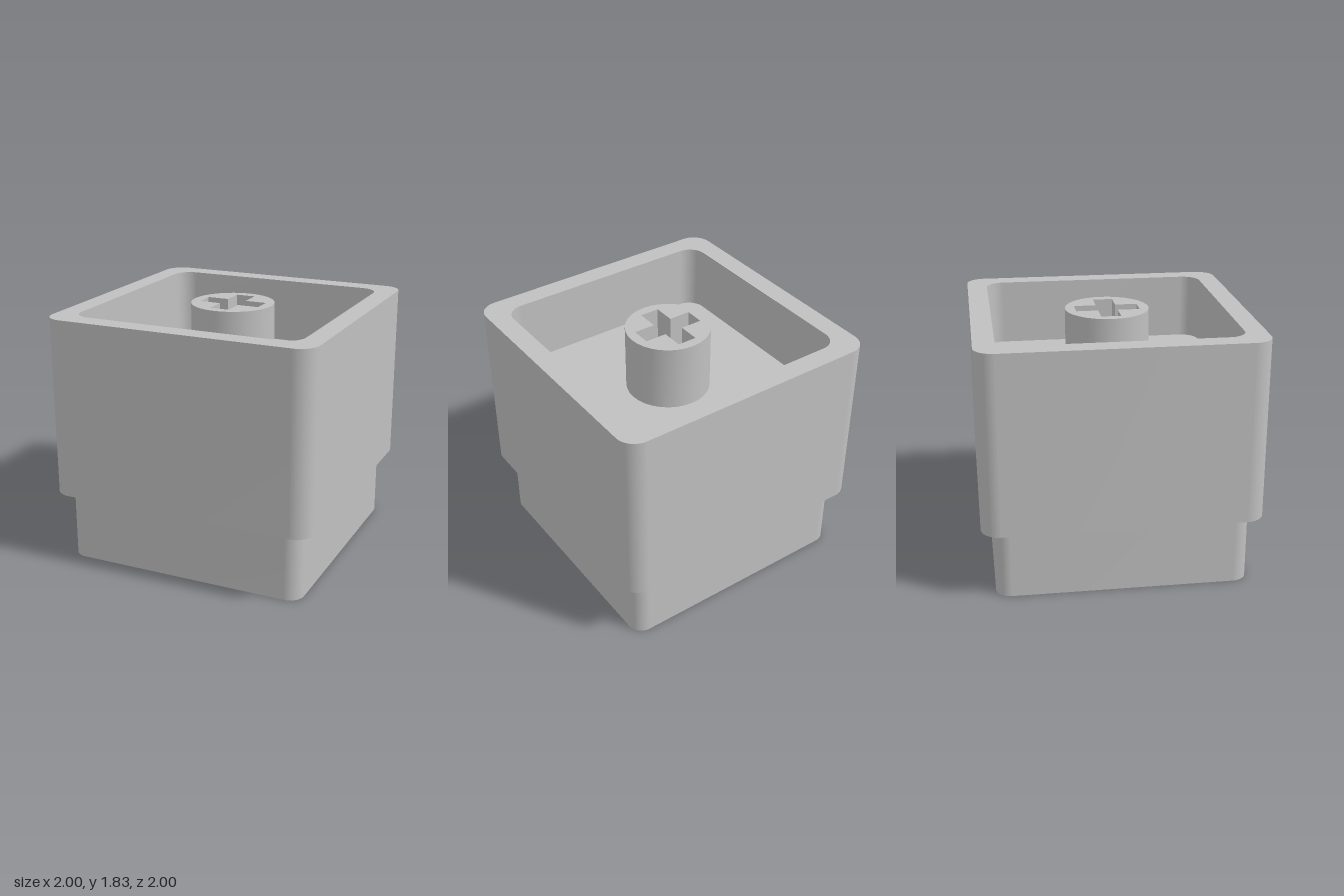
import * as THREE from 'three';
import { toCreasedNormals } from 'three/addons/utils/BufferGeometryUtils.js';

// Outlines
function roundedSquare(half, r) {
  const s = new THREE.Shape();
  const c = half - r;
  [[c, c], [-c, c], [-c, -c], [c, -c]].forEach(([x, y], i) =>
    s.absarc(x, y, r, i * Math.PI / 2, (i + 1) * Math.PI / 2, false));
  s.closePath();
  return s;
}

function circle(r) {
  return new THREE.Shape().absarc(0, 0, r, 0, Math.PI * 2, false);
}

function cross(a, w) {
  return new THREE.Shape([
    [a, -w], [a, w], [w, w], [w, a], [-w, a], [-w, w],
    [-a, w], [-a, -w], [-w, -w], [-w, -a], [w, -a], [w, -w],
  ].map(([x, y]) => new THREE.Vector2(x, y)));
}

// Vertical wall following an outline, facing outward or inward
function wall(shape, y0, y1, inward = false) {
  const pts = shape.getPoints(16);
  if (pts[0].distanceTo(pts[pts.length - 1]) < 1e-6) pts.pop();
  if (inward) pts.reverse();
  const pos = [];
  pts.forEach((p, i) => {
    const q = pts[(i + 1) % pts.length];
    const a = [p.x, y0, -p.y], b = [q.x, y0, -q.y];
    const c = [q.x, y1, -q.y], d = [p.x, y1, -p.y];
    pos.push(...a, ...b, ...c, ...a, ...c, ...d);
  });
  const g = new THREE.BufferGeometry();
  g.setAttribute('position', new THREE.Float32BufferAttribute(pos, 3));
  return toCreasedNormals(g, 0.6);
}

// Horizontal face, optionally with a hole, facing up or down
function face(shape, y, hole = null, up = true) {
  const s = shape.clone();
  if (hole) s.holes.push(hole);
  return new THREE.ShapeGeometry(s, 16).rotateX(up ? -Math.PI / 2 : Math.PI / 2).translate(0, y, 0);
}

export function createModel() {
  const model = new THREE.Group();
  const grey = new THREE.MeshStandardMaterial({ color: 0xc0c0c0 });
  grey.name = 'plain grey';

  const STEP = 0.515, FLOOR = 1.34, TOP = 1.83;
  const base = roundedSquare(0.91, 0.11);
  const body = roundedSquare(1, 0.14);
  const cavity = roundedSquare(0.85, 0.13);
  const stem = circle(0.308);
  const slot = cross(0.233, 0.072);

  const parts = {
    // Narrow foot
    baseBottom: face(base, 0, null, false),
    baseSides: wall(base, 0, STEP),
    // Wider upper block
    bodyUnderside: face(body, STEP, base, false),
    bodySides: wall(body, STEP, TOP),
    rim: face(body, TOP, cavity),
    // Open recess
    cavityWalls: wall(cavity, FLOOR, TOP, true),
    cavityFloor: face(cavity, FLOOR, stem),
    // Round stem with a cross-shaped socket
    stemSides: wall(stem, FLOOR, TOP),
    stemTop: face(stem, TOP, slot),
    slotWalls: wall(slot, FLOOR, TOP, true),
    slotFloor: face(slot, FLOOR),
  };
  for (const [name, geometry] of Object.entries(parts)) {
    const mesh = new THREE.Mesh(geometry, grey);
    mesh.name = name;
    model.add(mesh);
  }
  return model;
}
